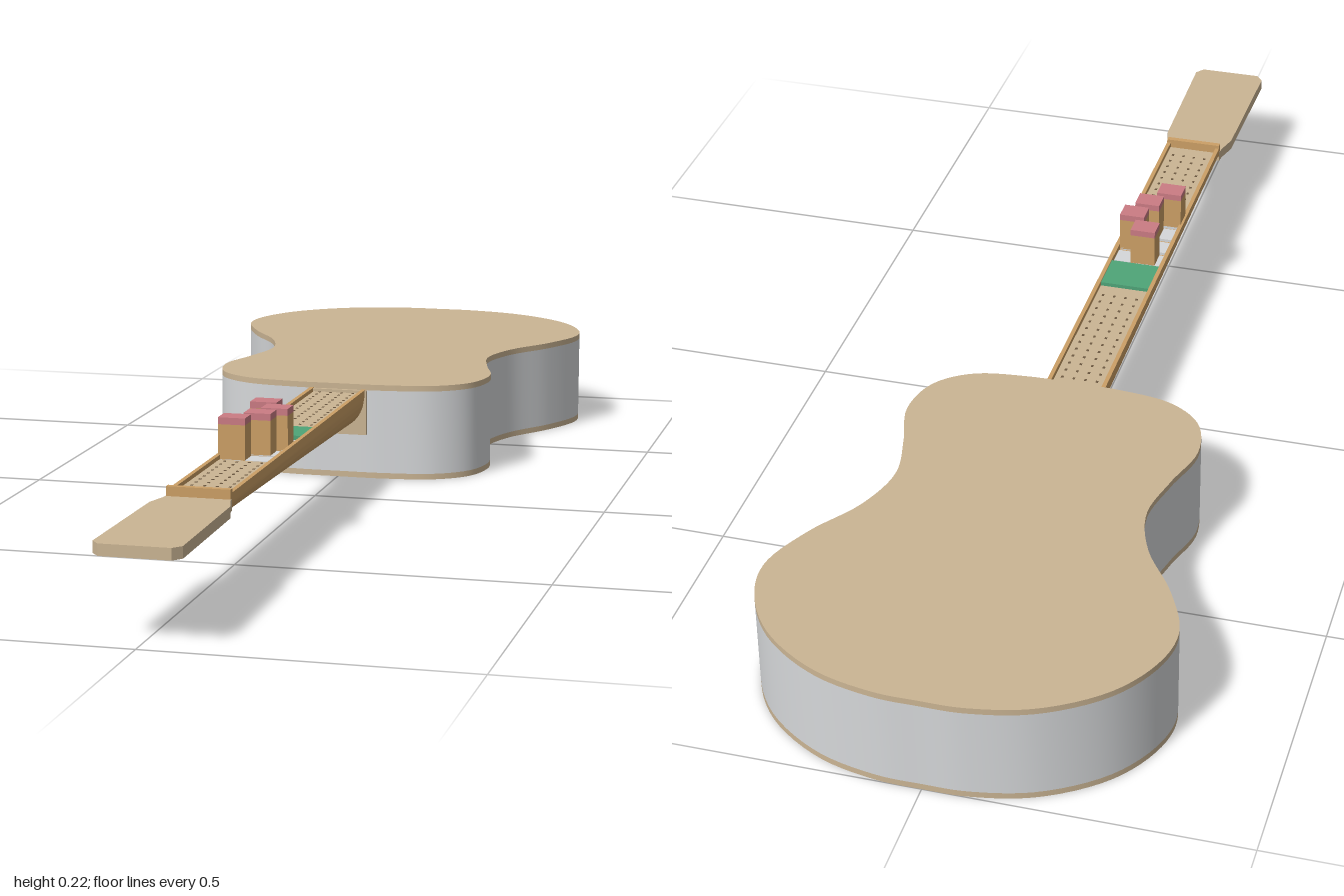
import * as THREE from 'three';
import { toCreasedNormals } from 'three/addons/utils/BufferGeometryUtils.js';

const mat = (name, color) => {
  const m = new THREE.MeshStandardMaterial({ color });
  m.name = name;
  return m;
};

export function createModel() {
  const model = new THREE.Group();
  model.name = 'guitar';
  const panel = mat('pale wood', 0xcbb594);
  const wood = mat('warm wood', 0xcca066);
  const shell = mat('light grey', 0xd6d8da);
  const green = mat('circuit green', 0x4fa578);
  const pink = mat('button pink', 0xcb7c84);
  const dark = mat('hole brown', 0x6e5a42);

  const add = (name, geometry, material, parent = model) => {
    const mesh = new THREE.Mesh(geometry, material);
    mesh.name = name;
    parent.add(mesh);
    return mesh;
  };
  // Box given by its lower and upper limits on each axis
  const box = (name, material, [x0, x1], [y0, y1], [z0, z1], parent) => {
    const mesh = add(name, new THREE.BoxGeometry(x1 - x0, y1 - y0, z1 - z0), material, parent);
    mesh.position.set((x0 + x1) / 2, (y0 + y1) / 2, (z0 + z1) / 2);
    return mesh;
  };
  // Plan outline (x, z) raised from y0 to y1
  const slab = (name, material, outline, y0, y1) => {
    const shape = new THREE.Shape(outline.map(([x, z]) => new THREE.Vector2(x, -z)));
    const geo = new THREE.ExtrudeGeometry(shape, { depth: y1 - y0, bevelEnabled: false });
    geo.rotateX(-Math.PI / 2).translate(0, y0, 0);
    return add(name, toCreasedNormals(geo, 0.5), material);
  };

  // Body: waisted outline, mirrored about x = 0
  const half = [[0.07, -0.998], [0.17, -0.972], [0.265, -0.905], [0.315, -0.82], [0.323, -0.75],
    [0.287, -0.66], [0.23, -0.57], [0.205, -0.48], [0.221, -0.39], [0.244, -0.3],
    [0.225, -0.222], [0.17, -0.177], [0.08, -0.161]];
  const ring = [[0, -1], ...half, [0, -0.16], ...half.map(([x, z]) => [-x, z]).reverse()];
  const curve = new THREE.CatmullRomCurve3(
    ring.map(([x, z]) => new THREE.Vector3(x, 0, z)), true, 'centripetal');
  const outline = curve.getPoints(160).slice(0, -1).map((p) => [p.x, p.z]);
  slab('bodyBack', panel, outline, 0, 0.01);
  slab('bodySides', shell, outline, 0.01, 0.157);
  slab('bodyTop', panel, outline, 0.157, 0.167);
  box('neckBlock', panel, [-0.053, 0.053], [0.078, 0.157], [-0.175, -0.153]);

  // Neck: half round, shallower towards the head
  const z0 = -0.165, z1 = 0.688;
  const section = new THREE.Shape();
  section.absarc(0, 0, 0.049, Math.PI, Math.PI * 2, false);
  section.closePath();
  const neckGeo = new THREE.ExtrudeGeometry(section,
    { depth: z1 - z0, bevelEnabled: false, steps: 6, curveSegments: 20 });
  const pos = neckGeo.attributes.position;
  for (let i = 0; i < pos.count; i++) {
    const t = pos.getZ(i) / (z1 - z0);
    const depth = THREE.MathUtils.lerp(0.057, 0.031, t);
    pos.setXYZ(i, pos.getX(i), 0.146 + pos.getY(i) * depth / 0.049, z0 + pos.getZ(i));
  }
  neckGeo.computeVertexNormals();
  add('neck', toCreasedNormals(neckGeo, 0.5), wood);
  for (const s of [-1, 1]) {
    const rail = box('neckRail', wood, [-0.0035, 0.0035], [0.145, 0.158], [z0, z1]);
    rail.position.x = s * 0.0465;
  }
  box('nut', wood, [-0.05, 0.05], [0.14, 0.164], [0.682, 0.692]);

  // Perforated boards inside the neck channel
  const boards = new THREE.Group();
  boards.name = 'perforatedBoards';
  model.add(boards);
  for (const [a, b] of [[-0.16, 0.168], [0.437, 0.676]]) {
    box('board', panel, [-0.042, 0.042], [0.146, 0.152], [a, b], boards);
    const rows = Math.floor((b - a) / 0.022);
    const holes = new THREE.InstancedMesh(new THREE.BoxGeometry(0.004, 0.001, 0.005), dark, rows * 4);
    holes.name = 'boardHoles';
    const m = new THREE.Matrix4();
    for (let i = 0; i < rows * 4; i++) {
      const x = ((i % 4) - 1.5) * 0.02;
      holes.setMatrixAt(i, m.makeTranslation(x, 0.1522, a + 0.012 + Math.floor(i / 4) * 0.022));
    }
    boards.add(holes);
  }
  box('circuitPlate', green, [-0.043, 0.043], [0.146, 0.156], [0.172, 0.248]);

  // Fret buttons: staggered blocks with pink caps on grey slides
  [[-0.01, 0.275], [0.021, 0.321], [0.005, 0.367], [-0.024, 0.412]].forEach(([x, z]) => {
    const button = new THREE.Group();
    button.name = 'fretButton';
    model.add(button);
    box('buttonSlide', shell, [-0.042, 0.042], [0.146, 0.151], [z - 0.018, z + 0.018], button);
    box('buttonStem', wood, [x - 0.022, x + 0.022], [0.148, 0.207], [z - 0.018, z + 0.018], button);
    box('buttonCap', pink, [x - 0.022, x + 0.022], [0.207, 0.218], [z - 0.018, z + 0.018], button);
  });

  // Headstock: thin paddle with clipped corners
  const side = [[0.05, 0.685], [0.052, 0.7], [0.062, 0.735], [0.066, 0.985], [0.054, 1]];
  slab('headstock', panel, [...side, ...side.map(([x, z]) => [-x, z]).reverse()], 0.131, 0.149);

  return model;
}
